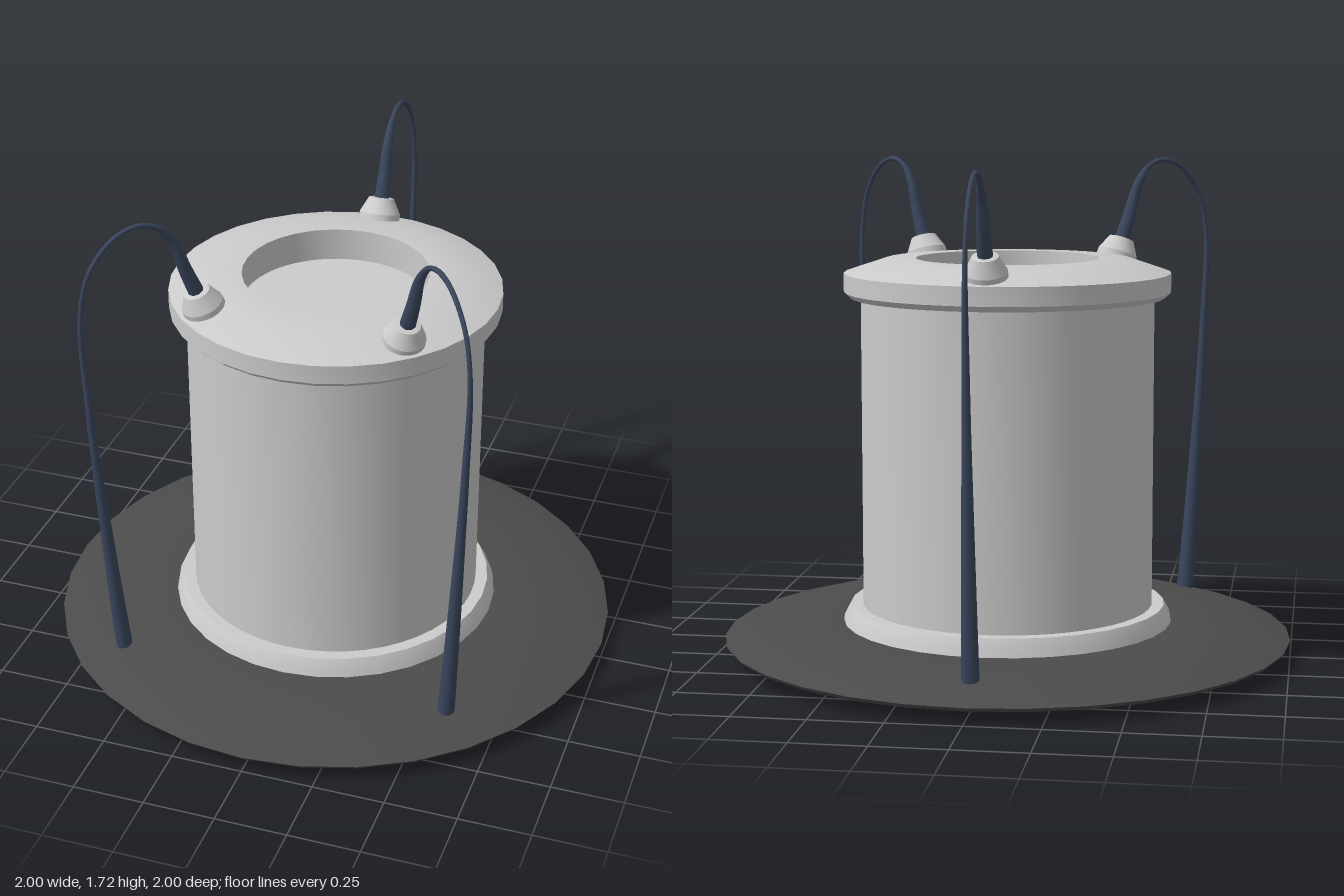
import * as THREE from 'three';
import { toCreasedNormals } from 'three/addons/utils/BufferGeometryUtils.js';

const grey = new THREE.MeshStandardMaterial({ color: 0xcccccc });
const plateMat = new THREE.MeshStandardMaterial({ color: 0x4c4c4c });
const cableMat = new THREE.MeshStandardMaterial({ color: 0x3b475e });

function add(parent, name, geometry, material) {
  const mesh = new THREE.Mesh(geometry, material);
  mesh.name = name;
  parent.add(mesh);
  return mesh;
}

// Revolved part from [radius, height] pairs, listed bottom to top on the outside
function turned(profile, sides = 32) {
  const points = profile.map(([r, y]) => new THREE.Vector2(r, y));
  return toCreasedNormals(new THREE.LatheGeometry(points, sides), 0.4);
}

// Hanging cable in the local yz plane, with a thickness that varies along it
function cableGeometry() {
  const path = new THREE.CatmullRomCurve3([
    [0.505, 1.42], [0.55, 1.53], [0.59, 1.64], [0.645, 1.705], [0.71, 1.723],
    [0.79, 1.698], [0.88, 1.6], [0.921, 1.45], [0.912, 1.1], [0.878, 0.6],
    [0.837, 0.12], [0.822, 0.01],
  ].map(([r, y]) => new THREE.Vector3(0, y, r)));
  const widths = [[0, 0.028], [0.08, 0.021], [0.15, 0.009], [0.33, 0.008],
    [0.6, 0.016], [0.95, 0.03], [0.98, 0.022], [1, 0.002]];
  const radiusAt = (u) => {
    let k = 1;
    while (k < widths.length - 1 && widths[k][0] < u) k++;
    const [u0, r0] = widths[k - 1], [u1, r1] = widths[k];
    return THREE.MathUtils.mapLinear(u, u0, u1, r0, r1);
  };
  const steps = 80, sides = 8;
  const geo = new THREE.TubeGeometry(path, steps, 1, sides, false);
  const pos = geo.attributes.position;
  const v = new THREE.Vector3();
  for (let i = 0; i <= steps; i++) {
    const centre = path.getPointAt(i / steps);
    for (let j = 0; j <= sides; j++) {
      const n = i * (sides + 1) + j;
      v.fromBufferAttribute(pos, n).sub(centre).multiplyScalar(radiusAt(i / steps)).add(centre);
      pos.setXYZ(n, v.x, v.y, v.z);
    }
  }
  return geo;
}

export function createModel() {
  const model = new THREE.Group();
  model.name = 'cabledDrum';

  // Wide ground plate with a bevelled rim and a central opening
  add(model, 'groundPlate', turned([
    [0.58, 0.055], [0.99, 0.055], [1, 0.068], [0.82, 0.12], [0.56, 0.12], [0.58, 0.055],
  ]), plateMat);

  // Foot ring that passes through the plate
  add(model, 'foot', turned([
    [0, 0.02], [0.6, 0.02], [0.577, 0.14], [0.555, 0.18], [0.5, 0.18],
  ]), grey);

  // Main drum
  add(model, 'drum', turned([[0.512, 0.16], [0.512, 1.28]], 48), grey);

  // Lid with a chamfered edge and a round recess
  add(model, 'lid', turned([
    [0.5, 1.265], [0.548, 1.265], [0.57, 1.285], [0.57, 1.35],
    [0.43, 1.397], [0.32, 1.4],
  ]), grey);
  add(model, 'lidRecess', turned([[0.32, 1.4], [0.32, 1.285], [0, 1.285]], 64), grey);

  // Three cables, each leaving a tilted socket on the lid
  const cable = cableGeometry();
  const socket = turned([[0.074, -0.03], [0.072, 0.015], [0.045, 0.068], [0.036, 0.07], [0, 0.07]], 24);
  [Math.PI / 4, -Math.PI / 4, Math.PI].forEach((angle, i) => {
    const set = new THREE.Group();
    set.name = ['leftCable', 'rightCable', 'backCable'][i];
    set.rotation.y = angle;
    const base = add(set, 'socket', socket, grey);
    base.position.set(0, 1.38, 0.49);
    base.rotation.x = 0.35;
    add(set, 'cable', cable, cableMat);
    model.add(set);
  });

  return model;
}
